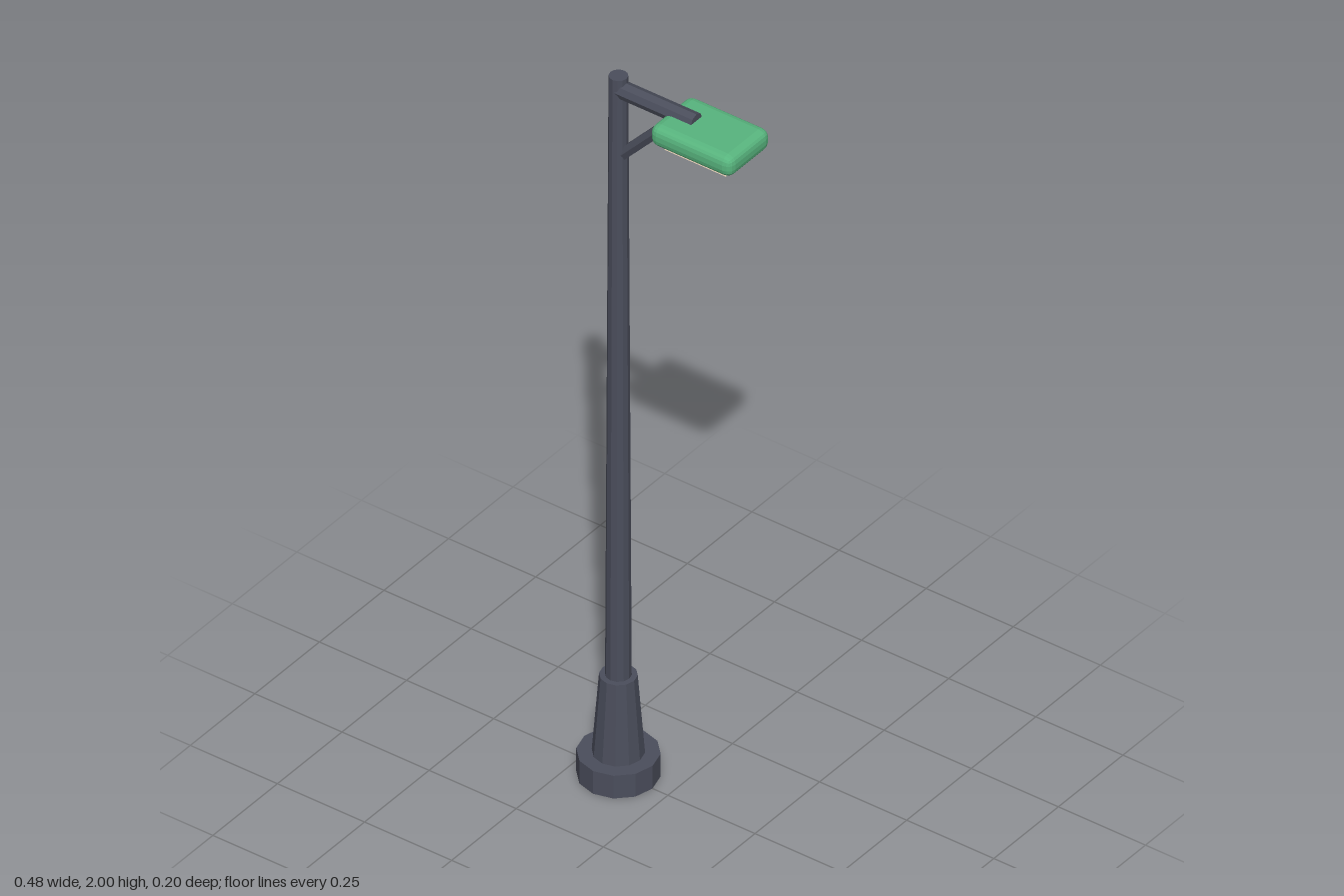
import * as THREE from 'three';
import { RoundedBoxGeometry } from 'three/addons/geometries/RoundedBoxGeometry.js';

const POLE_X = -0.142;

export function createModel() {
  const model = new THREE.Group();
  model.name = 'streetLamp';

  const material = (color) => new THREE.MeshStandardMaterial({ color, flatShading: true });
  const metal = material(0x4b4e5c);
  const green = material(0x58b57e);
  const glass = material(0xffe8cc);

  function add(name, geometry, mat, x, y, z = 0) {
    const mesh = new THREE.Mesh(geometry, mat);
    mesh.name = name;
    mesh.position.set(x, y, z);
    model.add(mesh);
    return mesh;
  }

  // Upright twelve-sided section between two heights
  function post(name, rBottom, rTop, y0, y1) {
    add(name, new THREE.CylinderGeometry(rTop, rBottom, y1 - y0, 12), metal, POLE_X, (y0 + y1) / 2);
  }

  // Straight bar between two points in the plane z = 0
  function bar(name, radius, sides, x0, y0, x1, y1) {
    const geometry = new THREE.CylinderGeometry(radius, radius, Math.hypot(x1 - x0, y1 - y0), sides);
    const mesh = add(name, geometry, metal, (x0 + x1) / 2, (y0 + y1) / 2);
    mesh.rotation.z = Math.atan2(y1 - y0, x1 - x0) - Math.PI / 2;
  }

  // Foot, tapered sleeve and slender pole
  post('baseFoot', 0.098, 0.098, 0, 0.065);
  post('baseSleeve', 0.062, 0.045, 0.065, 0.285);
  post('pole', 0.031, 0.023, 0.285, 2);

  // Horizontal arm and its diagonal brace
  bar('arm', 0.0225, 8, POLE_X, 1.964, 0.082, 1.964);
  bar('brace', 0.0155, 6, -0.135, 1.775, 0.018, 1.942);

  // Lamp head with the light panel underneath
  add('lampHead', new RoundedBoxGeometry(0.235, 0.058, 0.162, 2, 0.022), green, 0.1205, 1.939);
  add('lightPanel', new THREE.BoxGeometry(0.176, 0.02, 0.114), glass, 0.1205, 1.907);

  return model;
}
